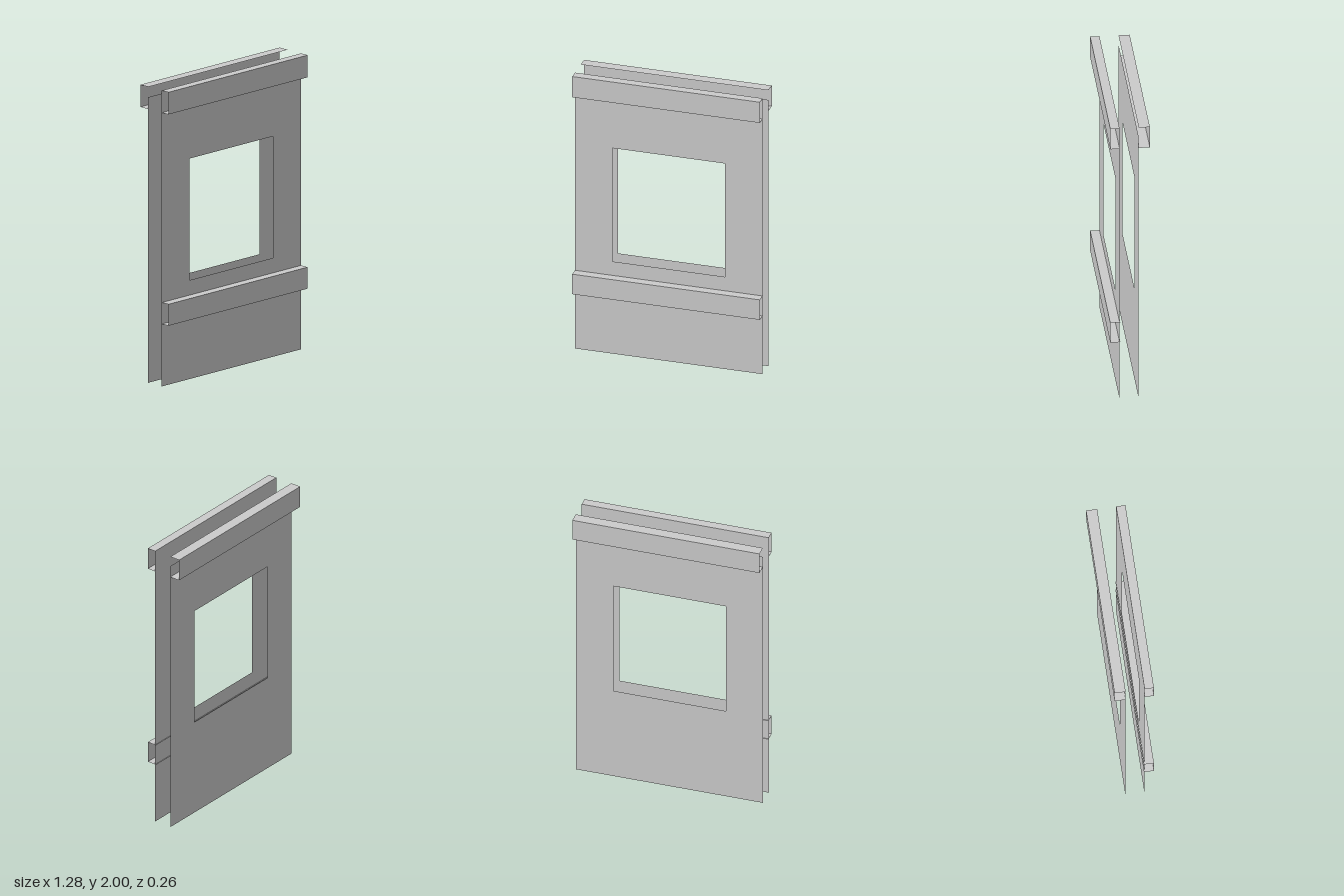
import * as THREE from 'three';

const HALF = 0.64;

export function createModel() {
  const group = new THREE.Group();
  const material = new THREE.MeshStandardMaterial({
    color: 0xcccccc, flatShading: true, side: THREE.DoubleSide,
  });

  const add = (name, geometry) => {
    const mesh = new THREE.Mesh(geometry, material);
    mesh.name = name;
    group.add(mesh);
    return mesh;
  };

  // Thin wall sheet with a rectangular window opening
  const addSheet = (name, height, z) => {
    const shape = new THREE.Shape([[-HALF, 0], [HALF, 0], [HALF, height], [-HALF, height]]
      .map(([x, y]) => new THREE.Vector2(x, y)));
    shape.holes.push(new THREE.Path([[-0.386, 0.668], [-0.386, 1.49], [0.382, 1.49], [0.382, 0.668]]
      .map(([x, y]) => new THREE.Vector2(x, y))));
    const sheet = add(name, new THREE.ShapeGeometry(shape));
    sheet.position.z = z;
    if (z < 0) { // turn to face the back
      sheet.rotation.y = Math.PI;
      sheet.scale.x = -1;
      sheet.scale.z = -1;
    }
  };

  // Open-ended channel: top, outer face and bottom, swept along x
  const addRail = (name, y0, y1, zInner, zOuter) => {
    const profile = [[y1, zInner], [y1, zOuter], [y0, zOuter], [y0, zInner]];
    const positions = [];
    const indices = [];
    for (let i = 0; i < 3; i++) {
      const [ya, za] = profile[i];
      const [yb, zb] = profile[i + 1];
      const n = positions.length / 3;
      positions.push(-HALF, ya, za, -HALF, yb, zb, HALF, yb, zb, HALF, ya, za);
      if (zOuter > zInner) indices.push(n, n + 1, n + 2, n, n + 2, n + 3);
      else indices.push(n, n + 2, n + 1, n, n + 3, n + 2);
    }
    const geometry = new THREE.BufferGeometry();
    geometry.setAttribute('position', new THREE.Float32BufferAttribute(positions, 3));
    geometry.setIndex(indices);
    geometry.computeVertexNormals();
    add(name, geometry);
  };

  addSheet('frontSheet', 2, 0.067);
  addSheet('backSheet', 1.93, -0.058);

  addRail('frontTopRail', 1.85, 2, 0.067, 0.128);
  addRail('frontLowerRail', 0.422, 0.567, 0.062, 0.128);
  addRail('backTopRail', 1.85, 2, -0.058, -0.131);

  return group;
}
